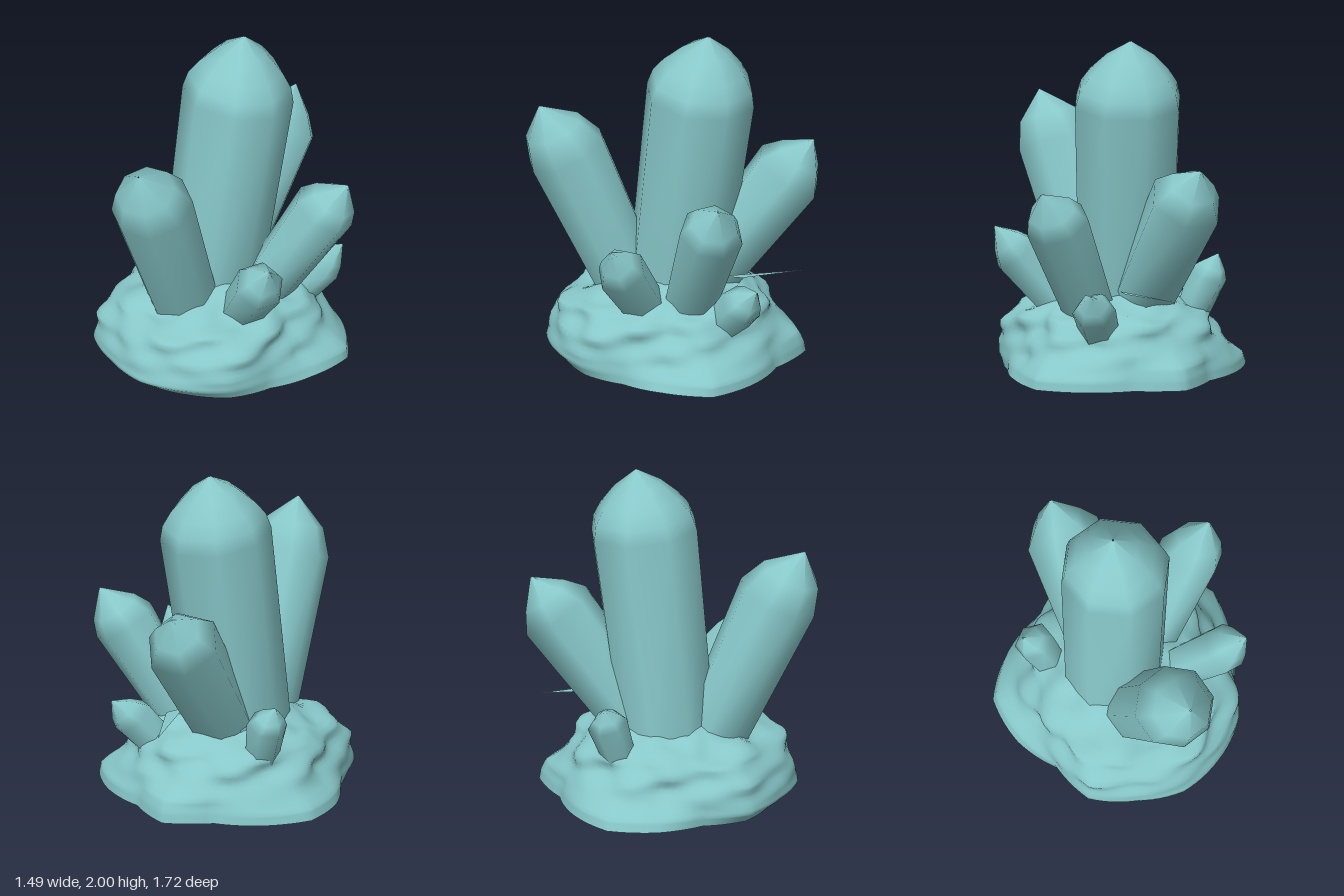
import * as THREE from 'three';

const mineral = new THREE.MeshStandardMaterial({ color: 0x88c8ca });
mineral.name = 'paleTealMineral';
const mineralSheet = mineral.clone();
mineralSheet.name = 'paleTealMineralSheet';
mineralSheet.side = THREE.DoubleSide;

// Joins a stack of closed rings (bottom to top, equal point counts) into one smooth surface
function skin(rings) {
  const n = rings[0].length, pos = [], idx = [];
  rings.forEach(r => r.forEach(p => pos.push(p.x, p.y, p.z)));
  for (let j = 0; j < rings.length - 1; j++)
    for (let i = 0; i < n; i++) {
      const a = j * n + i, b = j * n + (i + 1) % n;
      idx.push(a, a + n, b, b, a + n, b + n);
    }
  const g = new THREE.BufferGeometry();
  g.setAttribute('position', new THREE.Float32BufferAttribute(pos, 3));
  g.setIndex(idx);
  g.computeVertexNormals();
  return g;
}

function part(name, geometry, material = mineral) {
  const m = new THREE.Mesh(geometry, material);
  m.name = name;
  return m;
}

// Leaning prism that widens to a shoulder, then closes to a point.
// tiers: [fraction of the way to the tip, fraction of the shoulder radius]
function crystal(name, base, rBase, shoulder, rShoulder, tip, sides, phase, tiers) {
  const b = new THREE.Vector3(...base), s = new THREE.Vector3(...shoulder), t = new THREE.Vector3(...tip);
  const dir = s.clone().sub(b).normalize();
  const u = new THREE.Vector3(1, 0, 0).addScaledVector(dir, -dir.x).normalize();
  const v = u.clone().cross(dir);
  const ring = (c, r) => Array.from({ length: sides }, (_, i) => {
    const a = phase + i / sides * Math.PI * 2;
    return c.clone().addScaledVector(u, Math.cos(a) * r).addScaledVector(v, Math.sin(a) * r);
  });
  const rings = [ring(b, rBase), ring(s, rShoulder)];
  tiers.forEach(([f, k]) => rings.push(ring(s.clone().lerp(t, f), rShoulder * k)));
  rings.push(ring(t, 0.004));
  return part(name, skin(rings));
}

// Lumpy mound: radius every 22.5 degrees from +x towards +z, at rising heights
function rockBase() {
  const levels = [
    [0.00, [.69, .63, .66, .65, .66, .65, .69, .64, .72, .79, .74, .69, .79, .69, .74, .79]],
    [0.06, [.66, .63, .69, .71, .74, .72, .74, .65, .70, .77, .73, .68, .78, .68, .73, .78]],
    [0.13, [.59, .62, .69, .70, .72, .71, .73, .64, .62, .68, .69, .66, .75, .66, .67, .71]],
    [0.23, [.55, .60, .66, .68, .68, .69, .69, .61, .57, .60, .61, .61, .62, .60, .61, .60]],
    [0.33, [.51, .55, .60, .61, .63, .61, .61, .57, .53, .55, .56, .56, .57, .55, .56, .55]],
  ];
  const segs = 96, rows = 4;
  // Straight edges between neighbouring corners
  const radius = (list, a) => {
    const f = a / (Math.PI * 2) * 16, i = Math.floor(f), k = f - i;
    return 1 / ((1 - k) / list[i % 16] + k / list[(i + 1) % 16]);
  };
  const ring = (fn) => Array.from({ length: segs }, (_, i) => {
    const a = i / segs * Math.PI * 2, [r, y] = fn(a);
    return new THREE.Vector3(Math.cos(a) * r, y, Math.sin(a) * r);
  });
  // Folds and bulges, fading out near the ground
  const lump = (a, y) => Math.min(1, Math.max(0, (y - 0.1) * 7)) *
    (0.018 * Math.sin(7 * a + 14 * y) + 0.014 * Math.sin(11 * a - 23 * y) + 0.012 * Math.sin(5 * a + 41 * y));
  const rings = [ring(() => [0.001, 0]), ring(a => [radius(levels[0][1], a), 0])];
  for (let l = 0; l < levels.length - 1; l++)
    for (let s = 0; s < rows; s++) {
      const k = s / rows, [y0, r0] = levels[l], [y1, r1] = levels[l + 1];
      const y = y0 + (y1 - y0) * k;
      rings.push(ring(a => [radius(r0, a) * (1 - k) + radius(r1, a) * k + lump(a, y), y]));
    }
  // Uneven crown under the crystals, lower at the front
  const crown = [[0.33, 1], [0.36, 0.95], [0.385, 0.87], [0.41, 0.77], [0.45, 0.64], [0.49, 0.48], [0.51, 0.28], [0.52, 0.002]];
  crown.forEach(([y, k]) => rings.push(ring(a => {
    const sway = Math.min(1, (1 - k) * 5) * k;
    return [(radius(levels[4][1], a) + lump(a, y)) * k,
      y + sway * (0.025 * Math.sin(6 * a + 9 * k) + 0.015 * Math.sin(9 * a - 14 * k) - 0.04 * Math.max(0, Math.sin(a)))];
  })));
  return part('rockBase', skin(rings));
}

// Thin stray flake at the back
function flake() {
  const g = new THREE.BufferGeometry();
  g.setAttribute('position', new THREE.Float32BufferAttribute(
    [0.15, 0.525, -0.3, 0.19, 0.535, -0.43, 0.03, 0.53, -0.79], 3));
  g.computeVertexNormals();
  return part('backFlake', g, mineralSheet);
}

export function createModel() {
  const group = new THREE.Group();
  group.name = 'crystalCluster';
  group.add(
    rockBase(),
    crystal('mainCrystal', [-0.075, 0.36, -0.02], 0.295, [0.01, 1.62, -0.17], 0.33, [0.02, 2, -0.22], 8, 0.2,
      [[0.24, 0.93], [0.46, 0.76], [0.74, 0.45]]),
    crystal('frontCrystal', [-0.06, 0.36, 0.24], 0.2, [-0.005, 1.23, 0.62], 0.245, [0.02, 1.52, 0.78], 8, 0.2,
      [[0.5, 0.74]]),
    crystal('backCrystal', [-0.07, 0.38, -0.15], 0.19, [-0.075, 1.11, -0.68], 0.23, [-0.08, 1.32, -0.83], 6, 0,
      [[0.45, 0.65]]),
    crystal('rightCrystal', [0.25, 0.4, -0.13], 0.155, [0.567, 0.98, -0.28], 0.192, [0.71, 1.18, -0.33], 7, 0.3,
      [[0.4, 0.76]]),
    crystal('frontRightCrystal', [0.28, 0.38, 0.135], 0.13, [0.51, 0.69, 0.255], 0.152, [0.63, 0.86, 0.31], 6, 0,
      [[0.4, 0.7]]),
    crystal('smallLeftCrystal', [-0.375, 0.33, -0.275], 0.1, [-0.443, 0.56, -0.335], 0.12, [-0.51, 0.68, -0.345], 6, 0.4,
      [[0.4, 0.7]]),
    crystal('smallBackRightCrystal', [0.3, 0.28, -0.33], 0.115, [0.415, 0.46, -0.44], 0.13, [0.5, 0.58, -0.54], 6, 0.5,
      [[0.4, 0.72]]),
    flake(),
  );
  return group;
}
